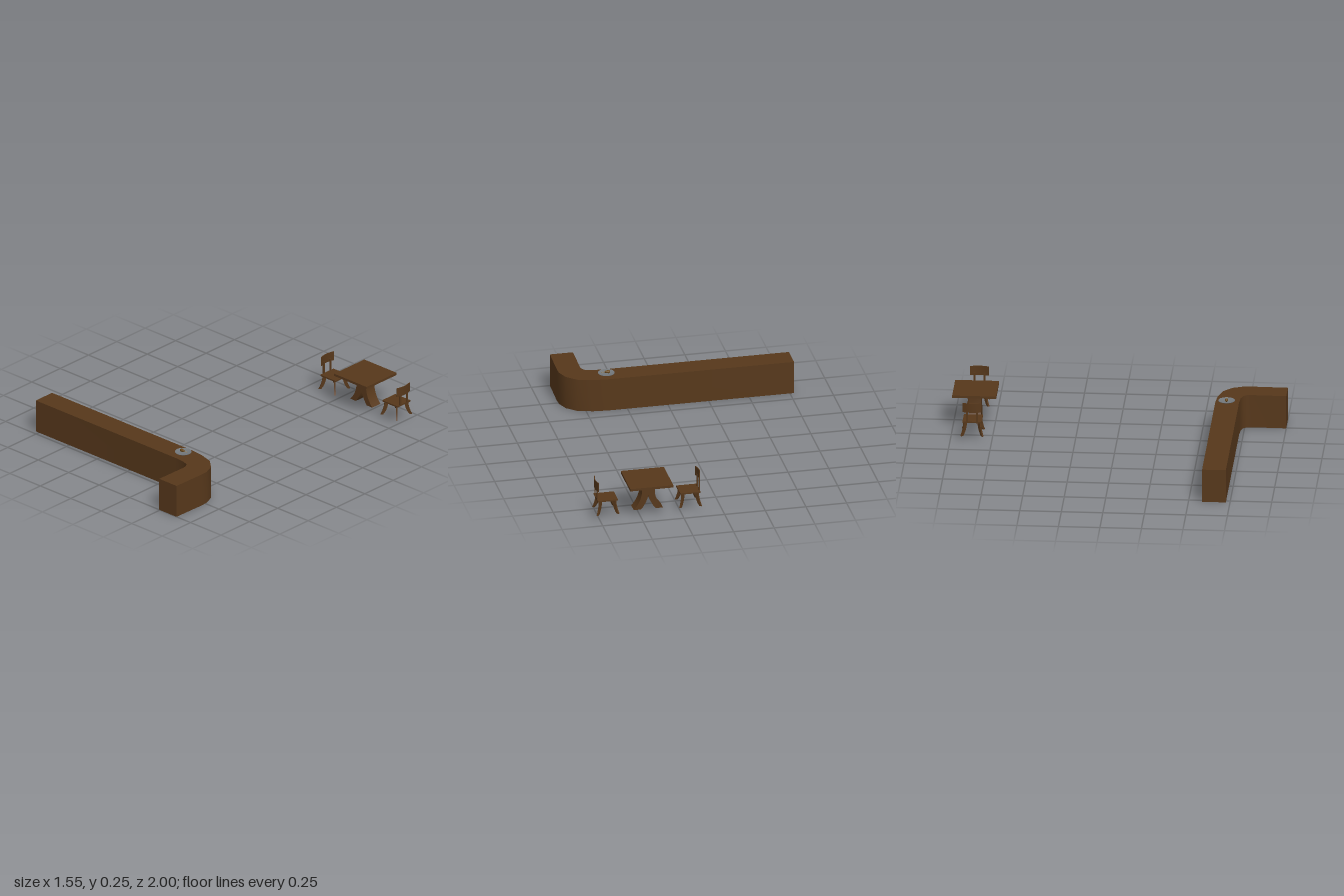
import * as THREE from 'three';
import { toCreasedNormals } from 'three/addons/utils/BufferGeometryUtils.js';

const wood = new THREE.MeshStandardMaterial({ color: 0x57381b });
const plateGrey = new THREE.MeshStandardMaterial({ color: 0x73787c, side: THREE.DoubleSide });
const roast = new THREE.MeshStandardMaterial({ color: 0x6b4a1c });
const boneMat = new THREE.MeshStandardMaterial({ color: 0x9a8a68 });

function add(parent, name, geometry, material, x = 0, y = 0, z = 0) {
  const mesh = new THREE.Mesh(geometry, material);
  mesh.name = name;
  mesh.position.set(x, y, z);
  parent.add(mesh);
  return mesh;
}

const outline = (pts) => new THREE.Shape(pts.map(([x, y]) => new THREE.Vector2(x, y)));

// Extrudes an outline and softens only the shallow bends
function slab(shape, depth, curveSegments = 5) {
  const g = new THREE.ExtrudeGeometry(shape, { depth, bevelEnabled: false, curveSegments });
  return toCreasedNormals(g, 0.7);
}

// Long counter with a rounded corner, drawn in plan (x, z) and raised
function createCounter() {
  const plan = outline([
    [-0.775, 0.582], [0.37, 0.582], [0.46, 0.59], [0.55, 0.615], [0.61, 0.668], [0.637, 0.735], [0.64, 0.79], [0.635, 1],
    [0.493, 1], [0.497, 0.79], [0.493, 0.763], [0.476, 0.742], [0.44, 0.73], [0.37, 0.725], [-0.775, 0.725],
  ]);
  const g = slab(plan, 0.207);
  g.rotateX(Math.PI / 2);
  g.translate(0, 0.207, 0);
  return g;
}

// Plate with a roasted drumstick
function createDish() {
  const dish = new THREE.Group();
  dish.name = 'dish';
  const rim = [[0, 0.004], [0.03, 0.004], [0.05, 0.012], [0.05, 0.014], [0.03, 0.008], [0, 0.008]];
  add(dish, 'plate', new THREE.LatheGeometry(rim.map(([x, y]) => new THREE.Vector2(x, y)), 20), plateGrey);
  add(dish, 'plateFoot', new THREE.CylinderGeometry(0.024, 0.024, 0.005, 16), plateGrey, 0, 0.0025, 0);
  const meat = [[0, -0.024], [0.007, -0.021], [0.01, -0.012], [0.008, 0], [0.004, 0.01], [0, 0.012]];
  const leg = new THREE.LatheGeometry(meat.map(([x, y]) => new THREE.Vector2(x, y)), 10);
  add(dish, 'drumstick', leg.rotateZ(-Math.PI / 2), roast, 0, 0.018, 0);
  add(dish, 'bone', new THREE.CylinderGeometry(0.002, 0.002, 0.02, 6).rotateZ(Math.PI / 2), boneMat, 0.018, 0.018, 0);
  add(dish, 'boneKnob', new THREE.SphereGeometry(0.004, 8, 6), boneMat, 0.028, 0.018, 0);
  return dish;
}

// Square table on a split, flaring pedestal
function createTable() {
  const table = new THREE.Group();
  table.name = 'table';
  add(table, 'tableTop', new THREE.BoxGeometry(0.265, 0.015, 0.265), wood, 0, 0.218, 0);
  const s = new THREE.Shape();
  s.moveTo(-0.04, 0.211);
  s.lineTo(-0.04, 0.14);
  s.quadraticCurveTo(-0.05, 0.08, -0.09, 0.038);
  s.lineTo(-0.045, 0.038);
  s.quadraticCurveTo(-0.01, 0.08, 0, 0.13);
  s.quadraticCurveTo(0.01, 0.08, 0.045, 0.038);
  s.lineTo(0.09, 0.038);
  s.quadraticCurveTo(0.05, 0.08, 0.04, 0.14);
  s.lineTo(0.04, 0.211);
  add(table, 'pedestal', slab(s, 0.072), wood, 0, 0, -0.036);
  return table;
}

// Chair facing -x, with its back on the +x side
function createChair() {
  const chair = new THREE.Group();
  chair.name = 'chair';
  add(chair, 'seat', new THREE.BoxGeometry(0.124, 0.009, 0.115), wood, 0, 0.126, 0);

  // Sabre legs flaring out on the diagonals
  const s = new THREE.Shape();
  s.moveTo(0.048, 0.124);
  s.quadraticCurveTo(0.052, 0.07, 0.08, 0.038);
  s.lineTo(0.095, 0.038);
  s.quadraticCurveTo(0.074, 0.075, 0.071, 0.124);
  for (let i = 0; i < 4; i++) {
    const leg = slab(s, 0.01).translate(0, 0, -0.005);
    add(chair, 'leg', leg, wood).rotation.y = Math.PI / 4 + i * Math.PI / 2;
  }

  // Back panel bowed outward, carried by two posts
  const bow = new THREE.Shape();
  bow.moveTo(0.054, -0.056);
  bow.quadraticCurveTo(0.076, 0, 0.054, 0.056);
  bow.lineTo(0.058, 0.057);
  bow.quadraticCurveTo(0.08, 0, 0.058, -0.057);
  const panel = slab(bow, 0.058).rotateX(Math.PI / 2);
  add(chair, 'backPanel', panel, wood, 0, 0.248, 0);
  for (const side of [-1, 1]) {
    add(chair, 'backPost', new THREE.BoxGeometry(0.006, 0.085, 0.012), wood, 0.06, 0.165, side * 0.03);
  }
  return chair;
}

export function createModel() {
  const model = new THREE.Group();
  model.name = 'counterAndDiningSet';
  add(model, 'counter', createCounter(), wood);

  const dish = createDish();
  dish.position.set(0.365, 0.207, 0.65);
  model.add(dish);

  // Dining set: table between two facing chairs
  const dining = new THREE.Group();
  dining.name = 'diningSet';
  dining.position.set(0.448, 0, -0.867);
  dining.add(createTable());
  for (const side of [-1, 1]) {
    const chair = createChair();
    chair.position.x = side * 0.254;
    if (side < 0) chair.rotation.y = Math.PI;
    dining.add(chair);
  }
  model.add(dining);
  return model;
}
